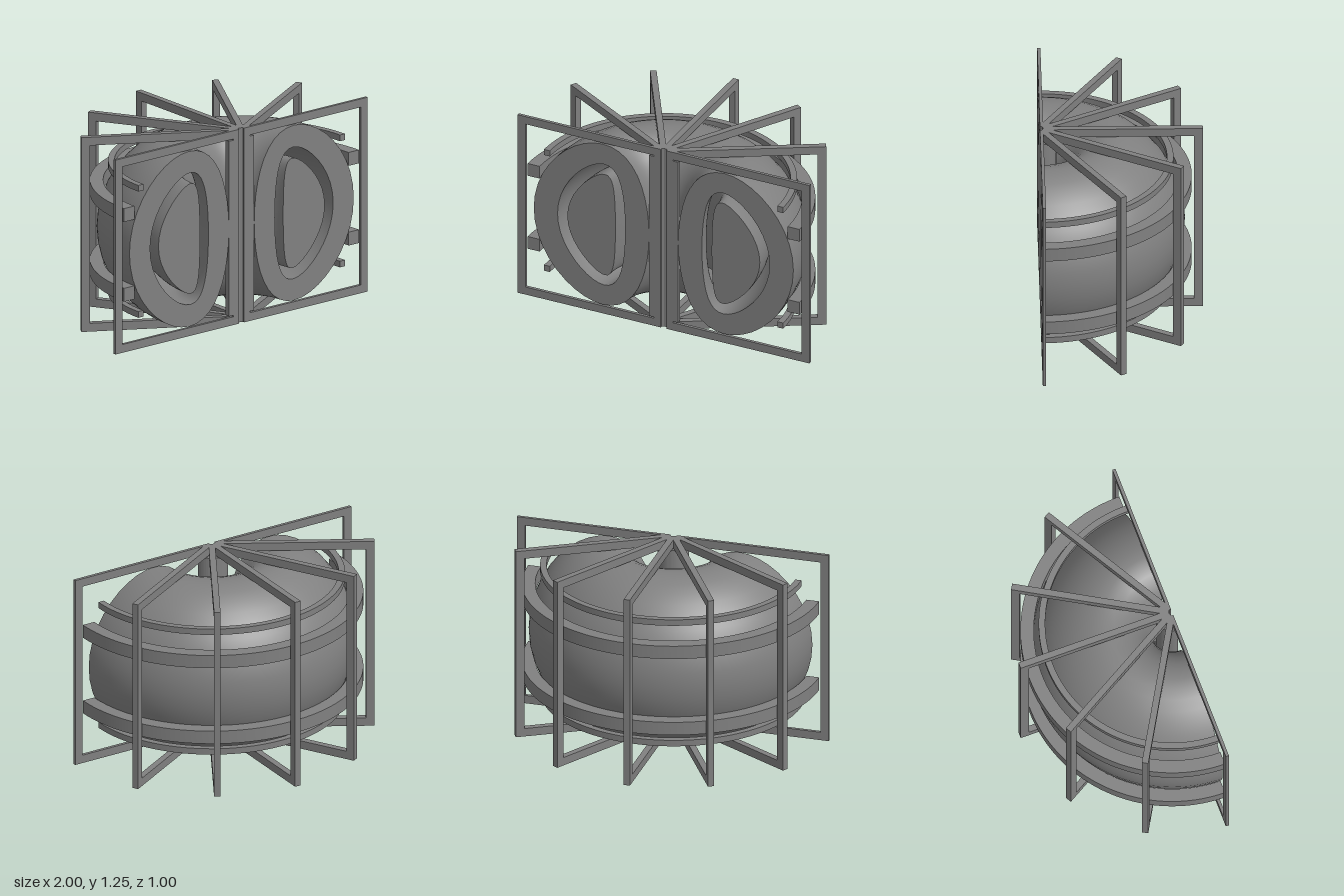
import * as THREE from 'three';
import { toCreasedNormals } from 'three/addons/utils/BufferGeometryUtils.js';

const AXIS_Z = 0.5; // the machine's vertical axis lies in the front cutting plane
const MID_Y = 0.627;

// D-shaped closed curve around the mid plane, counterclockwise, starting on the inboard side
function dCurve(halfWidth, halfHeight, lean, count = 40) {
  const points = [];
  for (let i = 0; i <= count; i++) {
    const t = Math.PI + (i / count) * Math.PI * 2;
    points.push(new THREE.Vector2(
      0.495 + halfWidth * Math.cos(t + lean * Math.sin(t)),
      MID_Y + halfHeight * Math.sin(t)));
  }
  return points;
}

export function createModel() {
  const model = new THREE.Group();
  const grey = new THREE.MeshStandardMaterial({ color: 0x808080 });

  const add = (name, geometry, parent = model) => {
    const mesh = new THREE.Mesh(geometry, grey);
    mesh.name = name;
    parent.add(mesh);
    return mesh;
  };

  // Half turn around the axis, on the back side of the cutting plane
  const sweep = (profile) =>
    new THREE.LatheGeometry(profile, 80, Math.PI / 2, Math.PI).translate(0, 0, AXIS_Z);

  // Flat cut face, on either side of the axis
  const cutFace = (side, outline, hole) => {
    const flip = (pts) => pts.slice(0, -1).map((p) => new THREE.Vector2(side * p.x, p.y));
    const shape = new THREE.Shape(flip(outline));
    if (hole) shape.holes.push(new THREE.Path(flip(hole)));
    return new THREE.ShapeGeometry(shape).translate(0, 0, AXIS_Z);
  };

  // Hollow vessel and the solid ring floating inside it
  const outer = dCurve(0.395, 0.565, 0.2);
  const inner = dCurve(0.232, 0.425, 0.39);
  const core = dCurve(0.165, 0.355, 0.6);
  const vessel = new THREE.Group();
  vessel.name = 'vessel';
  const coreRing = new THREE.Group();
  coreRing.name = 'coreRing';
  model.add(vessel, coreRing);
  add('vesselOuterWall', sweep(outer), vessel);
  add('vesselInnerWall', sweep([...inner].reverse()), vessel);
  add('coreSurface', sweep(core), coreRing);
  for (const side of [1, -1]) {
    add('vesselCutFace', cutFace(side, outer, inner), vessel);
    add('coreCutFace', cutFace(side, core), coreRing);
  }

  // Half ring of rectangular section, centred on a given height
  const halfRing = (name, rIn, rOut, height, y) => {
    const shape = new THREE.Shape();
    shape.absarc(0, 0, rOut, 0, Math.PI, false);
    shape.absarc(0, 0, rIn, Math.PI, 0, true);
    const geometry = new THREE.ExtrudeGeometry(shape, {
      depth: height, bevelEnabled: false, curveSegments: 64,
    });
    geometry.translate(0, 0, -height / 2).rotateX(-Math.PI / 2);
    add(name, toCreasedNormals(geometry, 0.5)).position.set(0, y, AXIS_Z);
  };

  // Central column in the vessel's hole, and ring coils mirrored about the mid plane
  halfRing('centralColumn', 0.06, 0.1, 1.13, MID_Y);
  for (const side of [1, -1]) {
    halfRing('largeRingCoil', 0.85, 0.932, 0.086, MID_Y + side * 0.257);
    halfRing('smallRingCoil', 0.78, 0.82, 0.04, MID_Y + side * 0.407);
  }

  // Upright rectangular frames fanned around the axis; the two end ones are cut in half
  const rectangle = (path, x0, y0, x1, y1) =>
    path.moveTo(x0, y0).lineTo(x1, y0).lineTo(x1, y1).lineTo(x0, y1).closePath();
  for (let k = 0; k <= 6; k++) {
    const isEnd = k === 0 || k === 6;
    // the frames next to the ends start further out to stay behind the cutting plane
    const start = k === 1 || k === 5 ? 0.035 : 0.02;
    const shape = new THREE.Shape();
    rectangle(shape, start, 0, 1, 1.253);
    const opening = new THREE.Path();
    rectangle(opening, 0.065, 0.053, 0.947, 1.2);
    shape.holes.push(opening);
    const geometry = new THREE.ExtrudeGeometry(shape, {
      depth: isEnd ? 0.02 : 0.04, bevelEnabled: false,
    });
    geometry.translate(0, 0, k === 6 ? 0 : -0.02);
    const frame = add('coilFrame', geometry);
    frame.rotation.y = (k * Math.PI) / 6;
    frame.position.z = AXIS_Z;
  }

  return model;
}
